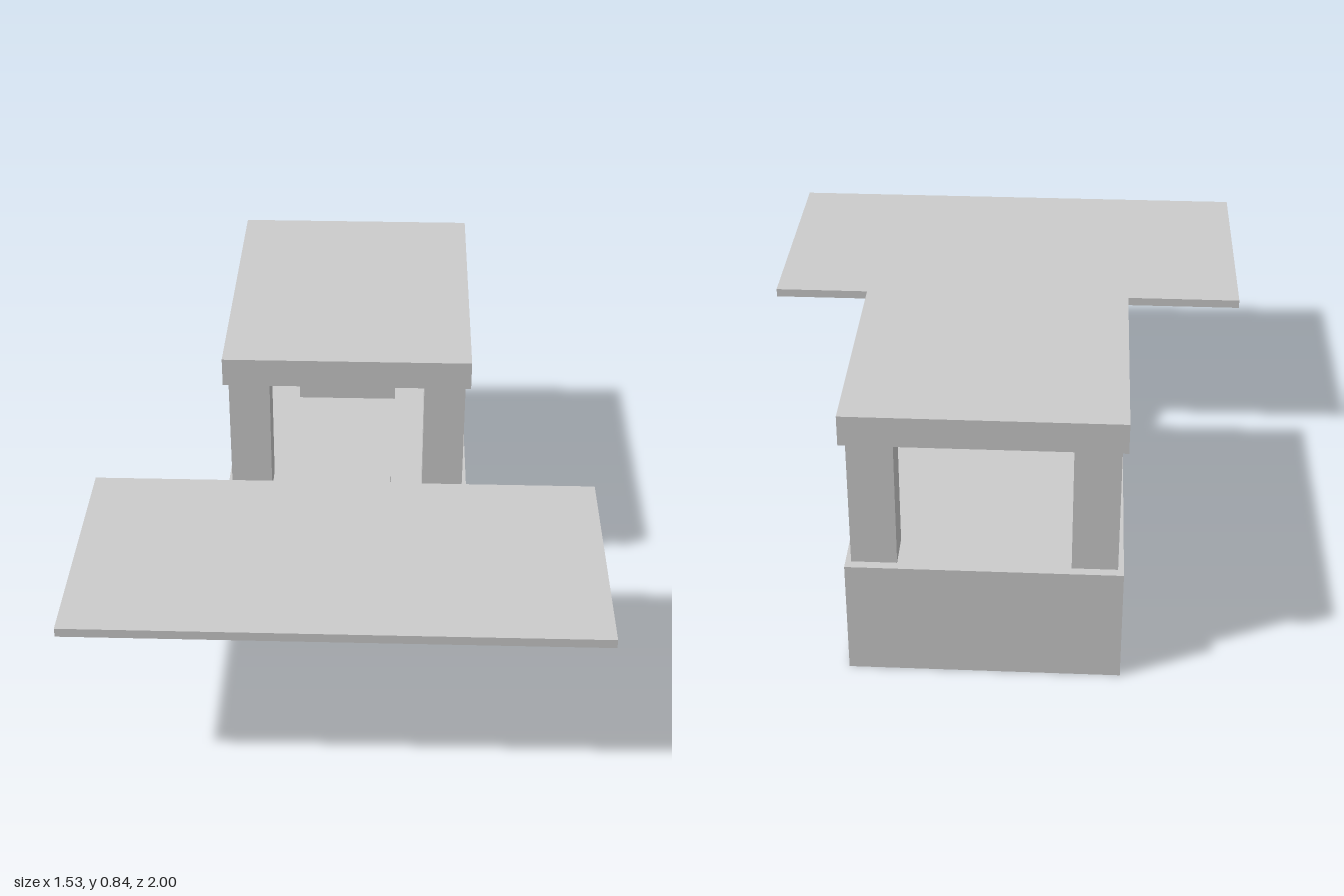
import * as THREE from 'three';

const material = new THREE.MeshStandardMaterial({ color: 0xcccccc, flatShading: true });

// Box from its min and max on each axis
function block(name, [x0, x1], [y0, y1], [z0, z1]) {
  const mesh = new THREE.Mesh(new THREE.BoxGeometry(x1 - x0, y1 - y0, z1 - z0), material);
  mesh.name = name;
  mesh.position.set((x0 + x1) / 2, (y0 + y1) / 2, (z0 + z1) / 2);
  return mesh;
}

export function createModel() {
  const model = new THREE.Group();
  model.name = 'pavilion';

  // Solid base and flat roof share a footprint
  model.add(block('base', [-0.387, 0.384], [0, 0.352], [-1, 0.02]));
  model.add(block('roof', [-0.387, 0.384], [0.752, 0.842], [-1, 0.02]));

  // Corner pillars
  for (const x of [[-0.371, -0.243], [0.24, 0.368]]) {
    for (const z of [[-0.112, 0], [-0.973, -0.864]]) {
      model.add(block('pillar', x, [0.352, 0.752], z));
    }
  }

  // Wide front deck
  model.add(block('deck', [-0.765, 0.762], [0.52, 0.547], [0.245, 1]));

  // Overlapping treads descending from the deck to the base
  const stairs = new THREE.Group();
  stairs.name = 'stairs';
  for (let i = 0; i < 7; i++) {
    const y = 0.512 - 0.0229 * i;
    const z = 0.232 - 0.048 * i;
    stairs.add(block('stairTread', [-0.142, 0.138], [y - 0.0135, y + 0.0135], [z - 0.027, z + 0.027]));
  }
  model.add(stairs);

  // Hanging sign board with two hangers
  const sign = new THREE.Group();
  sign.name = 'hangingSign';
  sign.add(block('signBoard', [-0.152, 0.148], [0.66, 0.723], [-0.1, -0.07]));
  for (const x of [-0.125, 0.121]) {
    sign.add(block('signHanger', [x - 0.006, x + 0.006], [0.723, 0.752], [-0.091, -0.079]));
  }
  model.add(sign);

  return model;
}
